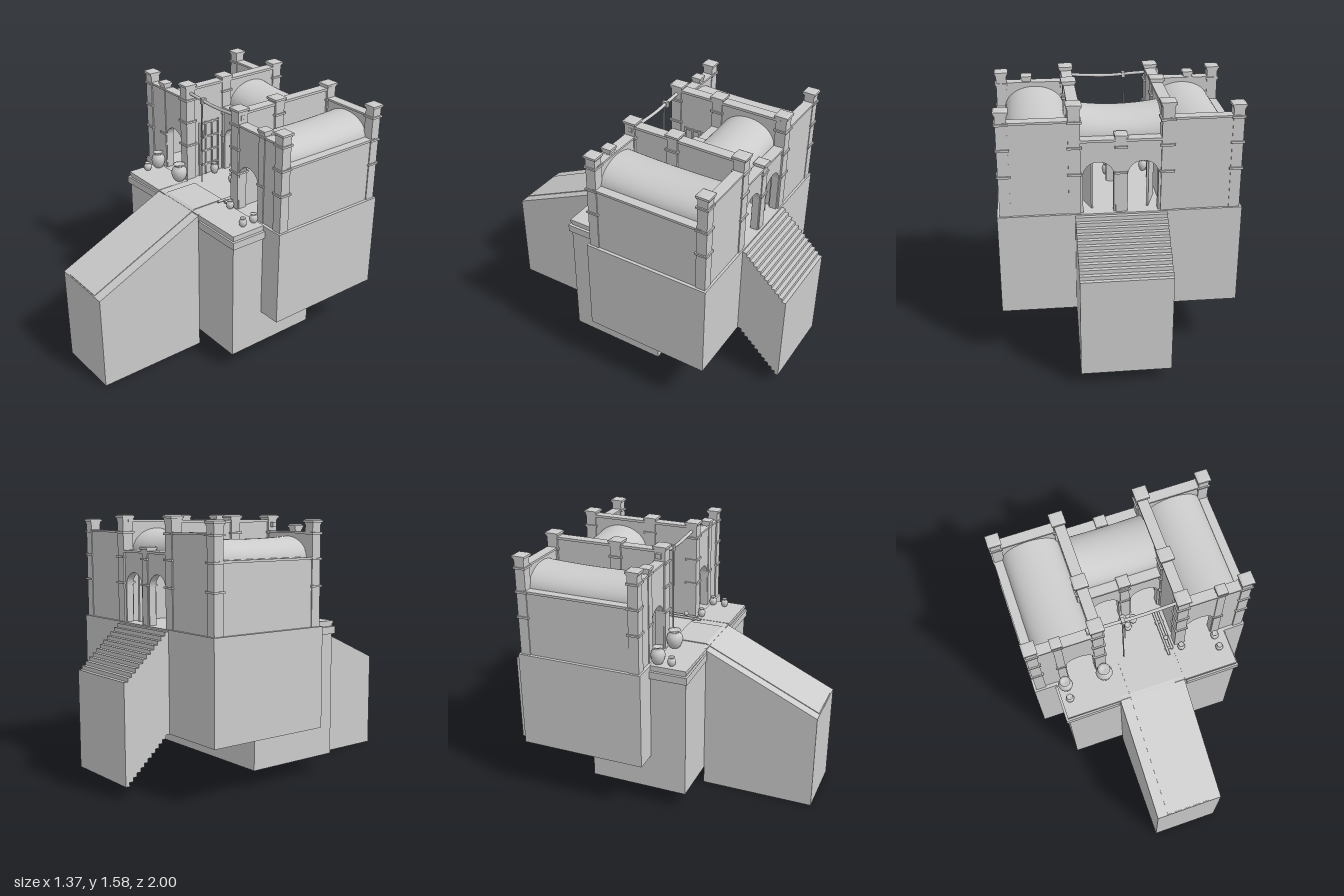
import * as THREE from 'three';

const FLOOR = 0.935;

export function createModel() {
  const root = new THREE.Group();
  const mat = new THREE.MeshStandardMaterial({ color: 0xcccccc, side: THREE.DoubleSide });

  const add = (geo, name, parent = root) => {
    const m = new THREE.Mesh(geo, mat);
    m.name = name;
    parent.add(m);
    return m;
  };
  // Box given by its min and max corners
  const box = (name, x0, x1, y0, y1, z0, z1, parent = root) => {
    const m = add(new THREE.BoxGeometry(x1 - x0, y1 - y0, z1 - z0), name, parent);
    m.position.set((x0 + x1) / 2, (y0 + y1) / 2, (z0 + z1) / 2);
    return m;
  };

  // Foundations
  box('mainFoundation', -0.685, 0.685, 0.335, FLOOR, -0.705, 0.08);
  box('frontFoundation', -0.54, 0.54, 0.11, FLOOR, -0.31, 0.3);

  // Entrance ramp, drawn as a side profile and extruded across x
  const side = new THREE.Shape();
  [[0.3, 0], [1, 0], [1, 0.605], [0.28, 0.938], [0.07, 0.938], [0.07, 0.9], [0.3, 0.9]]
    .forEach(([z, y], i) => (i ? side.lineTo(z, y) : side.moveTo(z, y)));
  const ramp = add(new THREE.ExtrudeGeometry(side, { depth: 0.415, bevelEnabled: false }), 'ramp');
  ramp.rotation.y = -Math.PI / 2;
  ramp.position.x = 0.205;
  const lane = new THREE.Shape();
  [[0.07, 0.93], [0.28, 0.93], [0.995, 0.6], [0.995, 0.612], [0.28, 0.943], [0.07, 0.943]]
    .forEach(([z, y], i) => (i ? lane.lineTo(z, y) : lane.moveTo(z, y)));
  const path = add(new THREE.ExtrudeGeometry(lane, { depth: 0.285, bevelEnabled: false }), 'rampPath');
  path.rotation.y = -Math.PI / 2;
  path.position.x = 0.14;

  // Rear stairs, stepped above and below
  const stairs = new THREE.Group();
  stairs.name = 'rearStairs';
  root.add(stairs);
  const N = 12, run = 0.295 / N;
  for (let i = 0; i < N; i++) {
    const top = 0.925 - i * 0.255 / (N - 1), z = -0.705 - i * run;
    box('step', -0.26, 0.255, top - 0.59, top, z - run, z, stairs);
  }

  // Ledges under the edge of the front terrace; the right front one hangs crooked
  for (const s of [-1, 1]) {
    box('sideLedge', s * 0.545 - 0.012, s * 0.545 + 0.012, 0.86, 0.905, 0.08, 0.312);
    const l = box('frontLedge', s * 0.385 - 0.165, s * 0.385 + 0.165, 0.86, 0.905, 0.295, 0.312);
    if (s < 0) { l.rotation.z = 0.04; l.position.y = 0.888; }
    box('terraceEdge', s * 0.375 - 0.17, s * 0.375 + 0.17, 0.92, 0.94, 0.08, 0.304);
  }

  // Wall with arched openings, centred on z
  const wall = (name, x0, x1, top, z, thick, arches = [], hw = 0.085) => {
    const s = new THREE.Shape();
    s.moveTo(x0, FLOOR);
    for (const a of arches) {
      s.lineTo(a - hw, FLOOR);
      s.lineTo(a - hw, 1.155);
      s.absellipse(a, 1.155, hw, 0.08, Math.PI, 0, true);
      s.lineTo(a + hw, FLOOR);
    }
    s.lineTo(x1, FLOOR);
    s.lineTo(x1, top);
    s.lineTo(x0, top);
    const m = add(new THREE.ExtrudeGeometry(s, { depth: thick, bevelEnabled: false, curveSegments: 16 }), name);
    m.position.z = z - thick / 2;
  };

  // Square post with bands and a stepped cap
  const post = (x, z, top, r, bands) => {
    const g = new THREE.Group();
    g.name = 'post';
    g.position.set(x, 0, z);
    root.add(g);
    const slab = (name, h, y0, y1) => box(name, -h, h, y0, y1, -h, h, g);
    slab('postShaft', r, FLOOR, top - 0.02);
    slab('postNeck', r * 1.12, top - 0.03, top - 0.02);
    slab('postCap', r * 1.3, top - 0.02, top - 0.007);
    const peak = add(new THREE.CylinderGeometry(r * 1.3, r * 1.84, 0.007, 4), 'postCapTop', g);
    peak.rotation.y = Math.PI / 4;
    peak.position.y = top - 0.0035;
    for (const y of bands) slab('postBand', r * 1.25, y - 0.006, y + 0.006);
  };

  // Barrel roof with a slightly sagging ridge, running along z
  const vault = (name, halfW, len, y, h, sag) => {
    const geo = new THREE.PlaneGeometry(1, 1, 24, 12);
    const p = geo.attributes.position;
    for (let i = 0; i < p.count; i++) {
      const a = (0.5 - p.getX(i)) * Math.PI, t = p.getY(i) * 2;
      const hh = h - sag * (1 - t * t);
      p.setXYZ(i, Math.cos(a) * halfW, y + Math.sin(a) * hh, -t * len / 2);
    }
    geo.computeVertexNormals();
    return add(geo, name);
  };

  const BANDS = [1.17, 1.325, 1.47];
  for (const s of [-1, 1]) {
    // Side wing walls
    const ends = (a, b) => (s > 0 ? [a, b] : [-b, -a]);
    wall('wingFrontWall', ...ends(0.25, 0.64), 1.475, 0.035, 0.05, [s * 0.375]);
    wall('wingBackWall', ...ends(0.25, 0.64), 1.475, -0.665, 0.05);
    box('wingFrontCoping', ...ends(0.25, 0.65), 1.468, 1.48, 0.003, 0.068);
    box('wingBackCoping', ...ends(0.25, 0.65), 1.468, 1.48, -0.697, -0.632);
    box('wingOuterWall', ...ends(0.615, 0.665), FLOOR, 1.325, -0.66, 0.03);
    box('wingOuterCoping', ...ends(0.605, 0.675), 1.322, 1.336, -0.66, 0.03);
    box('wingInnerWall', ...ends(0.23, 0.275), FLOOR, 1.535, -0.66, 0.03);
    box('wingInnerCoping', ...ends(0.22, 0.285), 1.53, 1.545, -0.66, 0.03);
    vault('wingRoof', 0.175, 0.66, 1.325, 0.127, 0.012).position.set(s * 0.447, 0, -0.315);

    // Posts
    for (const z of [0.037, -0.663]) {
      post(s * 0.64, z, 1.55, 0.031, BANDS);
      post(s * 0.255, z, 1.575, 0.033, BANDS);
    }
    post(s * 0.255, -0.245, 1.575, 0.033, BANDS);
    post(s * 0.49, 0.04, 1.52, 0.025, [1.17, 1.475]);

    // Half-open door leaf behind the middle arches
    const leaf = box('doorLeaf', -0.006, 0.006, FLOOR, 1.22, -0.08, 0.08);
    leaf.position.set(s * 0.18, 1.08, -0.56);
    leaf.rotation.y = s * 0.32;
  }

  // Middle hall
  for (const z of [-0.245, -0.663]) {
    wall('hallWall', -0.25, 0.25, 1.36, z, 0.045, [-0.124, 0.124]);
    box('hallCoping', -0.25, 0.25, 1.352, 1.366, z - 0.032, z + 0.032);
    post(0, z, 1.395, 0.028, [1.17, 1.32]);
  }
  const hallRoof = vault('hallRoof', 0.175, 0.47, 1.355, 0.14, 0.022);
  hallRoof.rotation.y = Math.PI / 2;
  hallRoof.position.set(0, 0, -0.452);

  // Lattice screen on the court side of one wing
  for (let i = 0; i < 4; i++) {
    const z = -0.18 + i * 0.05;
    box('screenUpright', -0.232, -0.222, FLOOR, 1.3, z - 0.005, z + 0.005);
    const y = 1.0 + i * 0.095;
    box('screenRail', -0.232, -0.222, y, y + 0.01, -0.18, -0.03);
  }

  // Sagging pole over the court with a hanging rope
  const curve = new THREE.CatmullRomCurve3([[-0.31, 1.516], [-0.15, 1.508], [0, 1.499], [0.15, 1.505], [0.29, 1.516]]
    .map(([x, y]) => new THREE.Vector3(x, y, 0.035)));
  add(new THREE.TubeGeometry(curve, 24, 0.01, 8), 'awningPole');
  for (const x of [-0.3, 0.28]) box('poleEnd', x - 0.01, x + 0.01, 1.5, 1.53, 0.02, 0.05);
  box('ropeTie', -0.105, -0.085, 1.485, 1.52, 0.018, 0.052);
  const rope = add(new THREE.CylinderGeometry(0.004, 0.004, 0.54, 6), 'rope');
  rope.position.set(-0.1, 1.23, 0.045);
  const cord = add(new THREE.CylinderGeometry(0.003, 0.003, 0.24, 6), 'ropeEnd');
  cord.position.set(-0.088, 1.38, 0.045);

  // Pair of poles lying on the court floor
  for (const [x, z, len] of [[0.167, -0.03, 0.31], [0.197, -0.045, 0.28]]) {
    const p = add(new THREE.CylinderGeometry(0.008, 0.008, len, 8), 'floorPole');
    p.rotation.x = Math.PI / 2;
    p.position.set(x, 0.953, z);
  }
  for (const z of [-0.1, 0.08]) box('floorPoleTie', 0.155, 0.21, 0.945, 0.955, z - 0.008, z + 0.008);
  const knob = add(new THREE.SphereGeometry(0.015, 10, 8), 'floorKnob');
  knob.position.set(0.182, 0.975, 0.02);

  // Clay jars: x, z, radius, height
  const profile = [[0, 0], [0.55, 0], [0.85, 0.22], [1, 0.5], [0.85, 0.73], [0.55, 0.84], [0.55, 0.9], [0.75, 1], [0.45, 0.98], [0, 0.9]];
  const jars = [
    [-0.25, 0.115, 0.052, 0.112], [-0.495, 0.11, 0.045, 0.107], [-0.495, 0.195, 0.026, 0.055],
    [-0.2, -0.13, 0.026, 0.07], [-0.32, -0.15, 0.03, 0.07], [-0.03, -0.18, 0.028, 0.07],
    [0.03, -0.165, 0.026, 0.07], [-0.015, -0.13, 0.026, 0.06], [0.255, 0.1, 0.024, 0.055],
    [0.475, 0.1, 0.026, 0.058], [0.475, 0.18, 0.024, 0.055],
  ];
  for (const [x, z, r, h] of jars) {
    const pts = profile.map(([a, b]) => new THREE.Vector2(a * r, b * h));
    add(new THREE.LatheGeometry(pts, 14), 'jar').position.set(x, FLOOR + 0.003, z);
  }

  return root;
}
